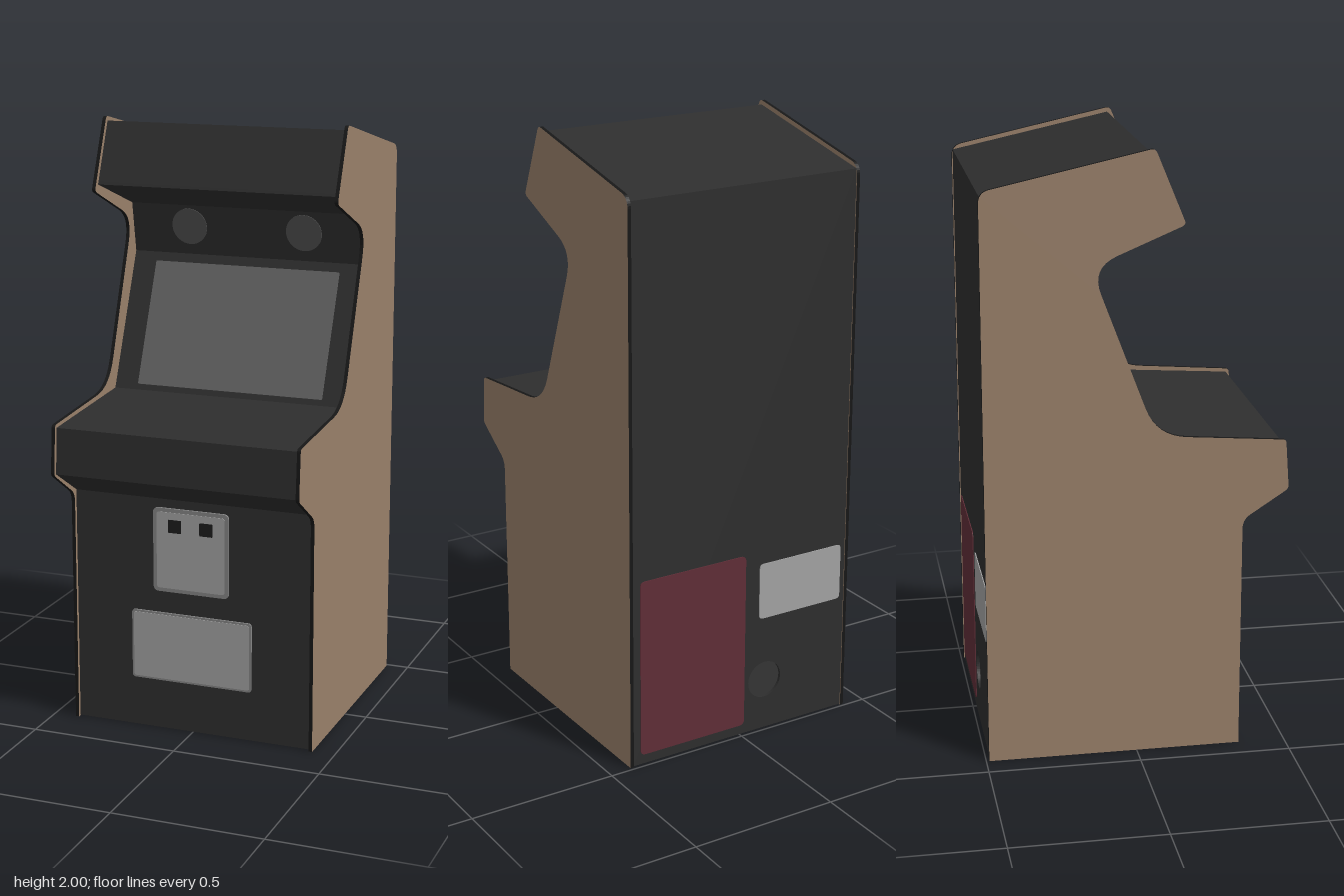
import * as THREE from 'three';

const mat = (name, color, side = THREE.FrontSide) => {
  const m = new THREE.MeshStandardMaterial({ color, side });
  m.name = name;
  return m;
};

export function createModel() {
  const black = mat('cabinet black', 0x2e2e2e);
  const wood = mat('side brown', 0x99806a);
  const trim = mat('edge trim', 0x171717);
  const glass = mat('screen grey', 0x626262);
  const mesh = mat('speaker grey', 0x505050);
  const steel = mat('plate grey', 0xa3a3a3);
  const frameGrey = mat('frame grey', 0x858585);
  const slotBlack = mat('slot black', 0x1c1c1c);
  const red = mat('door red', 0x602e37);

  const model = new THREE.Group();
  model.name = 'arcadeCabinet';

  // Side panels: [z, y, corner radius]
  const outline = [
    [0.345, 0, 0], [0.345, 0.79, 0.03], [0.495, 0.888, 0.012], [0.483, 1.054, 0.012],
    [0.06, 1.088, 0.1], [-0.148, 1.64, 0.09], [0.15, 1.765, 0.015],
    [0.052, 2.003, 0.015], [-0.49, 1.885, 0.035], [-0.49, 0, 0],
  ];
  const side = new THREE.Shape();
  outline.forEach(([z, y, r], i) => {
    const p = new THREE.Vector2(z, y);
    const toward = (j) => {
      const o = outline[(j + outline.length) % outline.length];
      return new THREE.Vector2(o[0], o[1]).sub(p).normalize().multiplyScalar(r).add(p);
    };
    const a = toward(i - 1), b = toward(i + 1);
    if (i === 0) side.moveTo(z, y);
    else side.lineTo(a.x, a.y);
    if (r > 0) side.quadraticCurveTo(z, y, b.x, b.y);
  });
  side.closePath();
  const sideGeo = new THREE.ExtrudeGeometry(side, { depth: 0.012, bevelEnabled: false, curveSegments: 8 });
  sideGeo.rotateY(-Math.PI / 2);
  for (const [name, x] of [['leftSidePanel', 0.424], ['rightSidePanel', -0.412]]) {
    const m = new THREE.Mesh(sideGeo, [wood, trim]);
    m.name = name;
    m.position.x = x;
    model.add(m);
  }

  // Rounded rectangle centred on the origin, extruded toward +z
  const plateGeo = (w, h, r, depth) => {
    const s = new THREE.Shape();
    const x = w / 2, y = h / 2;
    s.moveTo(-x + r, -y);
    s.lineTo(x - r, -y);
    s.quadraticCurveTo(x, -y, x, -y + r);
    s.lineTo(x, y - r);
    s.quadraticCurveTo(x, y, x - r, y);
    s.lineTo(-x + r, y);
    s.quadraticCurveTo(-x, y, -x, y - r);
    s.lineTo(-x, -y + r);
    s.quadraticCurveTo(-x, -y, -x + r, -y);
    return new THREE.ExtrudeGeometry(s, { depth, bevelEnabled: false, curveSegments: 5 });
  };

  // Hollow shell of flat panels between the sides: points are [z, y]
  const shell = [
    [0.333, 0.002], [0.333, 0.8], [0.482, 0.89], [0.472, 1.043], [0.01, 1.075],
    [-0.18, 1.52], [-0.15, 1.69], [0.125, 1.785], [0.043, 1.986], [-0.487, 1.872], [-0.487, 0.002],
  ];
  const names = ['lowerFront', 'controlUnderside', 'controlFront', 'controlPanel', 'screenBezel',
    'speakerPanel', 'marqueeUnderside', 'marquee', 'topPanel', 'backPanel', 'floorPanel'];
  const W = 0.824, T = 0.01;
  const parts = {};
  names.forEach((name, i) => {
    const a = shell[i], b = shell[(i + 1) % shell.length];
    const dz = b[0] - a[0], dy = b[1] - a[1], len = Math.hypot(dz, dy);
    const g = new THREE.Group();
    g.name = name;
    g.position.set(0, a[1], a[0]);
    g.rotation.x = Math.atan2(dz, dy);
    g.userData = { y0: a[1], scale: len / dy };
    const s = new THREE.Shape();
    s.moveTo(-W / 2, 0);
    s.lineTo(W / 2, 0);
    s.lineTo(W / 2, len);
    s.lineTo(-W / 2, len);
    s.closePath();
    if (name === 'backPanel') {
      // Round cable opening
      const hole = new THREE.Path();
      hole.absarc(-0.096, a[1] - 0.18, 0.064, 0, Math.PI * 2, true);
      s.holes.push(hole);
    }
    const geo = new THREE.ExtrudeGeometry(s, { depth: T, bevelEnabled: false, curveSegments: 24 });
    geo.translate(0, 0, -T);
    const m = new THREE.Mesh(geo, black);
    m.name = name + 'Board';
    g.add(m);
    parts[name] = g;
    model.add(g);
  });

  // Place a detail on a panel at model x and height y
  const attach = (panel, name, geo, material, x, y) => {
    const g = parts[panel];
    const m = new THREE.Mesh(geo, material);
    m.name = name;
    m.position.set(x, (y - g.userData.y0) * g.userData.scale, 0);
    g.add(m);
  };

  // Screen and speakers
  attach('screenBezel', 'screen', plateGeo(0.66, 0.432, 0.004, 0.003), glass, 0, 1.292);
  for (const x of [-0.205, 0.205]) {
    const disc = new THREE.CylinderGeometry(0.063, 0.063, 0.005, 32);
    disc.rotateX(Math.PI / 2);
    attach('speakerPanel', 'speaker', disc, mesh, x, 1.617);
  }

  // Coin door and lower service plate
  attach('lowerFront', 'coinDoorFrame', plateGeo(0.264, 0.286, 0.018, 0.007), frameGrey, -0.002, 0.628);
  attach('lowerFront', 'coinDoor', plateGeo(0.238, 0.26, 0.01, 0.009), steel, -0.002, 0.628);
  for (const x of [-0.057, 0.053]) {
    attach('lowerFront', 'coinSlot', plateGeo(0.046, 0.044, 0.003, 0.0105), slotBlack, x, 0.712);
  }
  attach('lowerFront', 'servicePlateFrame', plateGeo(0.422, 0.238, 0.012, 0.006), frameGrey, -0.002, 0.291);
  attach('lowerFront', 'servicePlate', plateGeo(0.408, 0.224, 0.008, 0.008), steel, -0.002, 0.291);

  // Rear access door and vent plate
  attach('backPanel', 'rearDoor', plateGeo(0.4, 0.61, 0.018, 0.003), red, 0.185, 0.34);
  attach('backPanel', 'rearPlate', plateGeo(0.324, 0.195, 0.015, 0.003), steel, -0.232, 0.503);

  return model;
}
